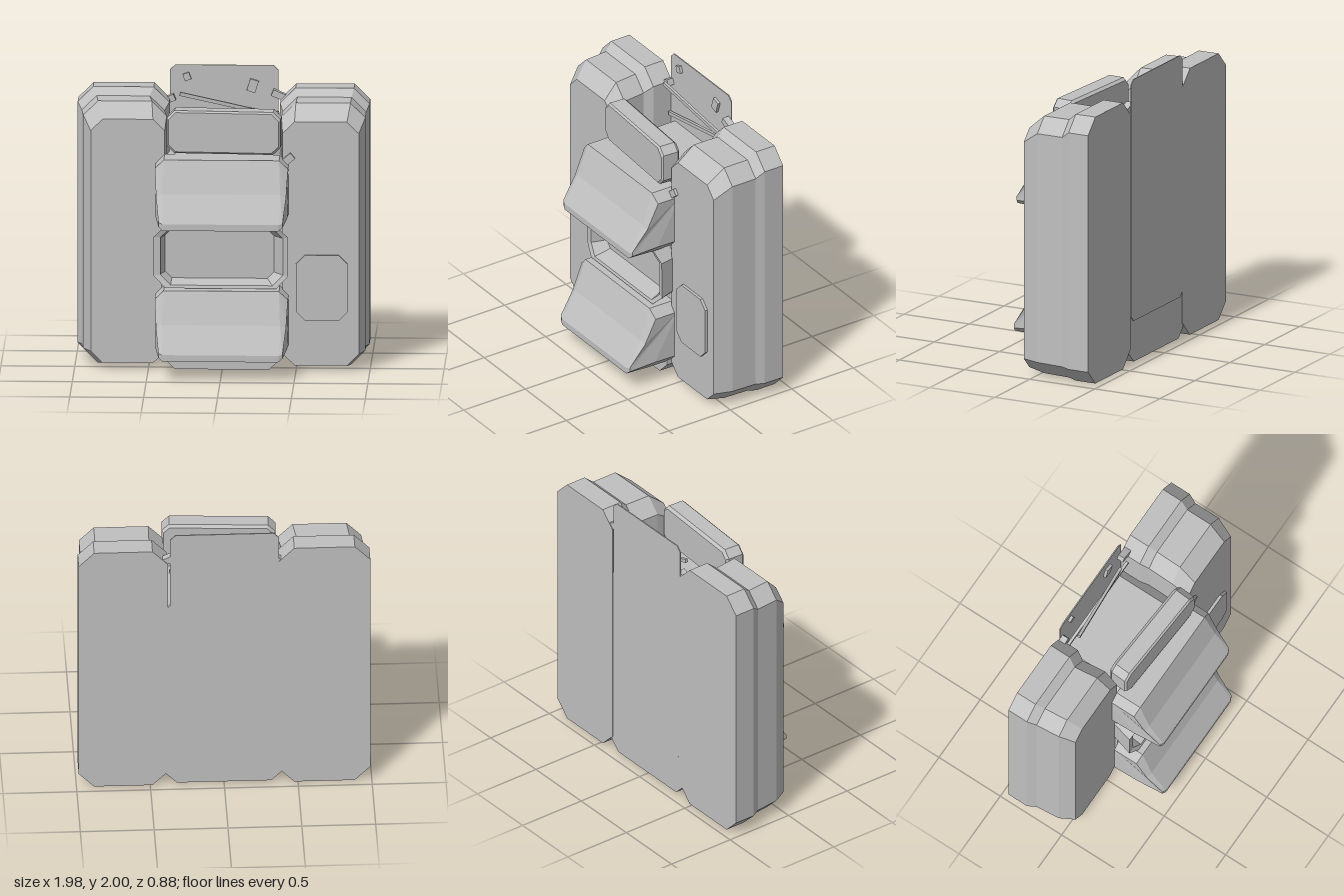
import * as THREE from 'three';

// Skin a closed solid through rings of points (counter-clockwise seen from the end)
function loft(rings) {
  const n = rings[0].length, pos = rings.flat(2), idx = [], last = (rings.length - 1) * n;
  for (let i = 0; i < rings.length - 1; i++) {
    for (let j = 0; j < n; j++) {
      const k = (j + 1) % n, a = i * n, b = a + n;
      idx.push(a + j, a + k, b + k, a + j, b + k, b + j);
    }
  }
  for (let j = 1; j < n - 1; j++) idx.push(0, j + 1, j, last, last + j, last + j + 1);
  const g = new THREE.BufferGeometry();
  g.setAttribute('position', new THREE.Float32BufferAttribute(pos, 3));
  g.setIndex(idx);
  const flat = g.toNonIndexed();
  flat.computeVertexNormals();
  return flat;
}

// Rectangle with cut corners at depth z (z may be a function of y)
function oct(x0, x1, y0, y1, c, z) {
  return [
    [x0 + c, y0], [x1 - c, y0], [x1, y0 + c], [x1, y1 - c],
    [x1 - c, y1], [x0 + c, y1], [x0, y1 - c], [x0, y0 + c],
  ].map(([x, y]) => [x, y, typeof z === 'function' ? z(y) : z]);
}

export function createModel() {
  const model = new THREE.Group();
  const grey = new THREE.MeshStandardMaterial({ color: 0xc0c0c0, flatShading: true, side: THREE.DoubleSide });
  grey.name = 'fabric grey';

  const add = (name, geometry) => {
    const mesh = new THREE.Mesh(geometry, grey);
    mesh.name = name;
    model.add(mesh);
    return mesh;
  };

  // Two tall side packs with stepped, bevelled fronts
  add('rightSidePack', loft([
    oct(-0.99, -0.37, 0, 1.875, 0.105, -0.44),
    oct(-0.99, -0.37, 0, 1.875, 0.105, -0.29),
    oct(-0.96, -0.40, 0.01, 1.825, 0.1, -0.23),
    oct(-0.945, -0.38, 0.015, 1.825, 0.1, -0.06),
    oct(-0.89, -0.39, 0.035, 1.72, 0.08, 0.04),
  ]));
  add('leftSidePack', loft([
    oct(0.38, 0.985, 0, 1.875, 0.105, -0.44),
    oct(0.38, 0.985, 0, 1.875, 0.105, -0.29),
    oct(0.40, 0.965, 0.01, 1.825, 0.1, -0.23),
    oct(0.395, 0.965, 0.015, 1.825, 0.1, -0.04),
    oct(0.41, 0.925, 0.035, 1.72, 0.08, 0.085),
  ]));

  // Thin patch on the left pack
  add('sidePatch', loft([
    oct(0.5, 0.85, 0.35, 0.8, 0.06, 0.07),
    oct(0.5, 0.85, 0.35, 0.8, 0.06, 0.105),
  ]));

  // Centre body, bottom tray and back plate
  add('centreBody', loft([
    oct(-0.41, 0.41, 0.012, 1.48, 0.09, -0.435),
    oct(-0.41, 0.41, 0.012, 1.48, 0.09, 0.06),
  ]));
  add('bottomTray', loft([
    oct(-0.41, 0.41, 0.012, 0.35, 0.09, -0.3),
    oct(-0.41, 0.41, 0.012, 0.35, 0.09, 0.12),
  ]));
  add('backPlate', loft([
    oct(-0.37, 0.365, 0.3, 2, 0.035, -0.44),
    oct(-0.37, 0.365, 0.3, 2, 0.035, -0.432),
  ]));

  // Sloping pouches: [z, y, x] profiles for the bevelled end and the main front
  const end = [[0.04, 1.42, 0.45], [0.22, 1.42, 0.45], [0.3, 1.24, 0.44], [0.41, 1.085, 0.42],
    [0.41, 1.055, 0.42], [0.22, 1.08, 0.445], [0.04, 1.08, 0.45]];
  const main = [[0.04, 1.48, 0.39], [0.23, 1.48, 0.39], [0.31, 1.26, 0.4], [0.42, 1.075, 0.395],
    [0.42, 1.03, 0.39], [0.22, 1.02, 0.39], [0.04, 1.02, 0.39]];
  const section = (profile, s) => profile.map(([z, y, x]) => [s * x, y, z]);
  const pouch = loft([section(end, -1), section(main, -1), section(main, 1), section(end, 1)]);
  add('upperPouch', pouch);
  add('lowerPouch', pouch).position.set(0, -0.9, 0.02);

  // Open frame with a recessed panel between the pouches
  const curve = (y) => 0.175 + 0.8 * (y - 0.8) ** 2;
  add('recessedFrame', loft([
    oct(-0.42, 0.41, 0.6, 1.01, 0.08, 0.04),
    oct(-0.46, 0.45, 0.59, 1.02, 0.08, curve),
    oct(-0.415, 0.415, 0.61, 1.005, 0.07, curve),
    oct(-0.385, 0.35, 0.635, 0.975, 0.045, 0.08),
  ]));

  // Slightly turned roll at the top
  const roll = add('topRoll', loft([
    oct(-0.37, 0.37, -0.13, 0.13, 0.04, -0.075),
    oct(-0.385, 0.385, -0.147, 0.147, 0.05, -0.055),
    oct(-0.385, 0.385, -0.147, 0.147, 0.05, 0.055),
    oct(-0.375, 0.375, -0.135, 0.135, 0.05, 0.068),
  ]));
  roll.position.set(0.015, 1.647, 0.06);
  roll.rotation.y = -0.06;

  // Loose straps in the gap behind the roll
  const strap = (name, from, to) => {
    const a = new THREE.Vector3(...from), b = new THREE.Vector3(...to);
    const mesh = add(name, new THREE.BoxGeometry(0.02, 0.025, a.distanceTo(b)));
    mesh.position.copy(a).add(b).multiplyScalar(0.5);
    mesh.lookAt(b);
  };
  strap('upperStrap', [-0.3, 1.82, -0.33], [0.31, 1.67, -0.4]);
  strap('lowerStrap', [-0.36, 1.53, -0.415], [0.37, 1.68, -0.385]);

  // Small studs and tabs: position, size, tilt
  [
    ['plateStud', [-0.255, 1.92, -0.425], [0.045, 0.05, 0.025], 0.35],
    ['plateStud', [0.19, 1.86, -0.425], [0.06, 0.085, 0.025], -0.3],
    ['plateTab', [0.37, 1.8, -0.41], [0.1, 0.045, 0.05], -0.4],
    ['plateTab', [-0.37, 1.77, -0.41], [0.07, 0.045, 0.05], 0.4],
    ['pouchTab', [0.44, 1.455, 0.085], [0.1, 0.05, 0.04], 0.7],
  ].forEach(([name, p, size, tilt]) => {
    const mesh = add(name, new THREE.BoxGeometry(...size));
    mesh.position.set(...p);
    mesh.rotation.z = tilt;
  });

  return model;
}
